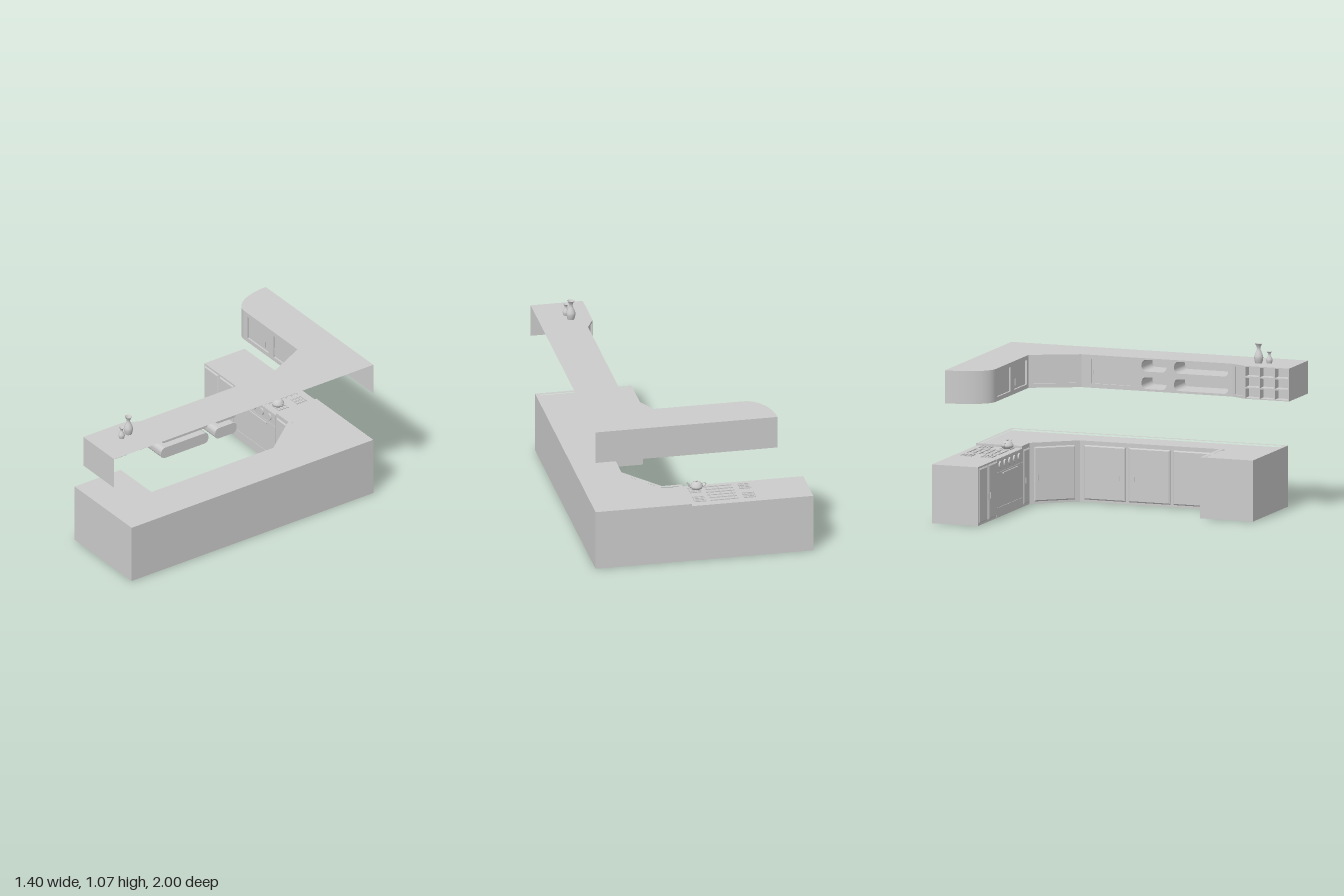
import * as THREE from 'three';

const grey = new THREE.MeshStandardMaterial({ color: 0xcccccc });
const thin = new THREE.MeshStandardMaterial({ color: 0xcccccc, side: THREE.DoubleSide });

function add(parent, name, geo, x = 0, y = 0, z = 0, mat = grey) {
  const m = new THREE.Mesh(geo, mat);
  m.name = name;
  m.position.set(x, y, z);
  parent.add(m);
  return m;
}
const box = (p, name, w, h, d, x, y, z) => add(p, name, new THREE.BoxGeometry(w, h, d), x, y, z);
const rod = (p, name, r, h, x, y, z) => add(p, name, new THREE.CylinderGeometry(r, r, h, 12), x, y, z);

// Plan outlines are [x, z]; the shape lies flat after rotateX(-90 degrees)
const plan = pts => new THREE.Shape(pts.map(([x, z]) => new THREE.Vector2(x, -z)));
function prism(pts, h, hole) {
  const s = plan(pts);
  if (hole) s.holes.push(plan(hole));
  return new THREE.ExtrudeGeometry(s, { depth: h, bevelEnabled: false }).rotateX(-Math.PI / 2);
}

// Group whose local x runs from a to b along a wall and whose local z points out of it
function along(parent, name, [ax, az], [bx, bz]) {
  const g = new THREE.Group();
  g.name = name;
  g.position.set(ax, 0, az);
  g.rotation.y = Math.atan2(az - bz, bx - ax);
  g.userData.length = Math.hypot(bx - ax, bz - az);
  parent.add(g);
  return g;
}

// Rectangle outline with optional rounded corners
function rect(x0, y0, x1, y1, r = 0) {
  const s = new THREE.Shape();
  if (!r) return s.setFromPoints([[x0, y0], [x1, y0], [x1, y1], [x0, y1]].map(p => new THREE.Vector2(...p)));
  s.absarc(x1 - r, y0 + r, r, -Math.PI / 2, 0);
  s.absarc(x1 - r, y1 - r, r, 0, Math.PI / 2);
  s.absarc(x0 + r, y1 - r, r, Math.PI / 2, Math.PI);
  s.absarc(x0 + r, y0 + r, r, Math.PI, Math.PI * 1.5);
  s.closePath();
  return s;
}

// Sides and back of a recess behind an opening
function recess(parent, name, shape, depth) {
  const pts = shape.getPoints(5);
  if (!pts[0].equals(pts[pts.length - 1])) pts.push(pts[0].clone());
  const pos = [], idx = [];
  pts.forEach((p, i) => {
    pos.push(p.x, p.y, 0, p.x, p.y, -depth);
    const a = i * 2;
    if (i < pts.length - 1) idx.push(a, a + 1, a + 2, a + 2, a + 1, a + 3);
  });
  let g = new THREE.BufferGeometry();
  g.setAttribute('position', new THREE.Float32BufferAttribute(pos, 3));
  g.setIndex(idx);
  g = g.toNonIndexed();
  g.computeVertexNormals();
  add(parent, name + 'Sides', g, 0, 0, 0, thin);
  add(parent, name + 'Back', new THREE.ShapeGeometry(shape, 5), 0, 0, -depth, thin);
}

const Y0 = 0.73, Y1 = 0.94; // wall cabinets, bottom and top

// Wall cabinet face with openings given as [x0, y0, x1, y1, radius, depth]
function cabinetWall(parent, name, a, b, openings = []) {
  const g = along(parent, name, a, b);
  const face = rect(0, Y0, g.userData.length, Y1);
  for (const [x0, y0, x1, y1, r, d] of openings) {
    const hole = rect(x0, y0, x1, y1, r);
    face.holes.push(hole);
    recess(g, d > 0.03 ? 'niche' : 'doorPanel', hole, d);
  }
  add(g, name + 'Face', new THREE.ShapeGeometry(face, 5), 0, 0, 0, thin);
  return g;
}
const door = (x0, x1) => [x0, 0.757, x1, 0.912, 0, 0.012];

// Raised base door with bevelled edge and a bar handle
function baseDoor(parent, x0, x1, handleX) {
  const b = 0.008;
  const geo = new THREE.ExtrudeGeometry(rect(x0 + b, 0.015 + b, x1 - b, 0.363 - b),
    { depth: 0.002, bevelThickness: 0.006, bevelSize: b, bevelSegments: 1 });
  add(parent, 'baseDoor', geo);
  rod(parent, 'baseHandle', 0.003, 0.036, handleX, 0.167, 0.014);
}

function buildUpper(root) {
  const g = new THREE.Group();
  g.name = 'wallCabinets';
  root.add(g);
  // Top board with rounded end
  const curve = [];
  for (let i = 0; i <= 16; i++) {
    const t = i / 16 * Math.PI / 2;
    curve.push([-0.31 - 0.16 * Math.cos(t), -1 + 0.28 * Math.sin(t)]);
  }
  const path = [[-0.31, -0.72], [0.27, -0.72], [0.415, -0.42], [0.415, 0.6], [0.365, 0.7], [0.365, 1], [0.7, 1]];
  const top = new THREE.ShapeGeometry(plan([...curve, ...path.slice(1), [0.7, -1]])).rotateX(-Math.PI / 2);
  add(g, 'topBoard', top, 0, Y1, 0, thin);
  const end = new THREE.CylinderGeometry(1, 1, Y1 - Y0, 16, 1, true, -Math.PI / 2, Math.PI / 2).scale(0.16, 1, 0.28);
  add(g, 'roundedEnd', end, -0.31, (Y0 + Y1) / 2, -1, thin);
  cabinetWall(g, 'backWall', [0.7, -1], [-0.47, -1]);
  // Doors and niches
  const front = cabinetWall(g, 'doorWall', path[0], path[1], [door(0.035, 0.265), door(0.32, 0.55)]);
  for (const x of [0.23, 0.335]) rod(front, 'handle', 0.003, 0.042, x, 0.805, 0.004);
  cabinetWall(g, 'cornerWall', path[1], path[2], [door(0.03, 0.3)]);
  const niches = [door(0.064, 0.332)];
  for (const [y0, y1] of [[0.744, 0.819], [0.855, 0.93]])
    for (const [a, b] of [[0.407, 0.573], [0.626, 0.99]]) niches.push([a, y0, b, y1, 0.03, 0.19]);
  const side = cabinetWall(g, 'nicheWall', path[2], path[3], niches);
  rod(side, 'handle', 0.003, 0.03, 0.085, 0.83, 0.004);
  cabinetWall(g, 'angledWall', path[3], path[4], [[0.02, 0.745, 0.095, 0.925, 0, 0.01]]);
  // Three by three cubbyholes
  const cubbies = [];
  for (let i = 0; i < 3; i++)
    for (let j = 0; j < 3; j++)
      cubbies.push([0.006 + i * 0.099, Y0 + 0.006 + j * 0.069, 0.096 + i * 0.099, Y0 + 0.066 + j * 0.069, 0, 0.06]);
  cabinetWall(g, 'cubbyWall', path[4], path[5], cubbies);
  cabinetWall(g, 'endWall', path[5], path[6]);
}

function buildBase(root) {
  const g = new THREE.Group();
  g.name = 'baseCabinets';
  root.add(g);
  // Counter with raised rim
  const outer = [[0.08, -1], [0.7, -1], [0.7, 0.865], [0.08, 0.865], [0.08, 0.51], [0.415, 0.51],
    [0.415, -0.43], [0.21, -0.69], [0.08, -0.69]];
  const inner = [[0.105, -0.975], [0.675, -0.975], [0.675, 0.84], [0.105, 0.84], [0.105, 0.535], [0.44, 0.535],
    [0.44, -0.439], [0.222, -0.715], [0.105, -0.715]];
  add(g, 'counterBody', prism(outer, 0.375));
  add(g, 'counterRim', prism(outer, 0.015, inner), 0, 0.375, 0);
  baseDoor(along(g, 'shortFront', outer[8], outer[7]), 0.012, 0.115, 0.03);
  baseDoor(along(g, 'cornerFront', outer[7], outer[6]), 0.03, 0.3, 0.05);
  const side = along(g, 'sideFront', outer[6], outer[5]);
  [[0.03, 0.31, 0.27], [0.33, 0.61, 0.37], [0.63, 0.91, 0.89]].forEach(d => baseDoor(side, ...d));
  // Left cupboard
  box(g, 'leftCupboard', 0.33, 0.375, 0.31, -0.535, 0.1875, -0.845);
  const left = along(g, 'leftFront', [-0.7, -0.69], [-0.37, -0.69]);
  baseDoor(left, 0.008, 0.153, 0.14);
  baseDoor(left, 0.173, 0.32, 0.186);
}

function buildStove(root) {
  const g = new THREE.Group();
  g.name = 'stove';
  root.add(g);
  box(g, 'stoveBody', 0.45, 0.375, 0.31, -0.145, 0.1875, -0.845);
  box(g, 'controlPanel', 0.446, 0.084, 0.004, -0.145, 0.332, -0.689);
  box(g, 'ovenDoor', 0.446, 0.22, 0.004, -0.145, 0.177, -0.689);
  box(g, 'drawerFront', 0.446, 0.058, 0.004, -0.145, 0.034, -0.689);
  box(g, 'ovenHandle', 0.265, 0.009, 0.008, -0.145, 0.274, -0.681);
  for (let i = 0; i < 5; i++)
    rod(g, 'knob', 0.024, 0.012, -0.32 + i * 0.083, 0.334, -0.683).rotation.x = Math.PI / 2;
  // Burner grates in the four corners and a long grate between them
  const grate = (x, z, w, d, n) => {
    for (let i = 0; i < n; i++) box(g, 'grateBar', w, 0.006, 0.007, x, 0.38, z + (i / (n - 1) - 0.5) * d);
    for (const s of [-1, 0, 1]) box(g, 'grateBar', 0.006, 0.005, d, x + s * w * 0.4, 0.379, z);
  };
  for (const x of [-0.305, 0.015]) for (const z of [-0.77, -0.91]) grate(x, z, 0.075, 0.07, 4);
  grate(-0.14, -0.84, 0.18, 0.21, 6);
}

const lathe = pts => new THREE.LatheGeometry(
  new THREE.SplineCurve(pts.map(p => new THREE.Vector2(...p))).getPoints(24), 24);

function buildTeapot(root) {
  const g = new THREE.Group();
  g.name = 'teapot';
  g.position.set(0, 0.383, -0.76);
  root.add(g);
  add(g, 'teapotBody', lathe([[0, 0], [0.026, 0.001], [0.039, 0.016], [0.037, 0.028], [0.028, 0.042]]), 0, 0, 0, thin);
  add(g, 'teapotLid', lathe([[0.029, 0.041], [0.018, 0.047], [0.005, 0.049], [0.009, 0.057], [0, 0.06]]), 0, 0, 0, thin);
  const tube = (name, pts, r) => add(g, name, new THREE.TubeGeometry(
    new THREE.CatmullRomCurve3(pts.map(([x, y]) => new THREE.Vector3(x, y, 0))), 16, r, 8), 0, 0, 0, thin);
  tube('teapotSpout', [[0.032, 0.012], [0.046, 0.021], [0.053, 0.038], [0.063, 0.046]], 0.006);
  tube('teapotHandle', [[-0.034, 0.036], [-0.054, 0.038], [-0.058, 0.026], [-0.035, 0.009]], 0.0035);
}

export function createModel() {
  const root = new THREE.Group();
  root.name = 'kitchen';
  buildUpper(root);
  buildBase(root);
  buildStove(root);
  buildTeapot(root);
  // Pair of vases on the wall cabinet
  const profile = [[0, 0], [0.018, 0], [0.029, 0.04], [0.024, 0.065], [0.012, 0.095], [0.014, 0.115], [0.023, 0.132]];
  add(root, 'tallVase', lathe(profile), 0.495, 0.933, 0.745, thin);
  add(root, 'smallVase', lathe(profile), 0.513, 0.933, 0.81, thin).scale.set(0.7, 0.62, 0.7);
  return root;
}
